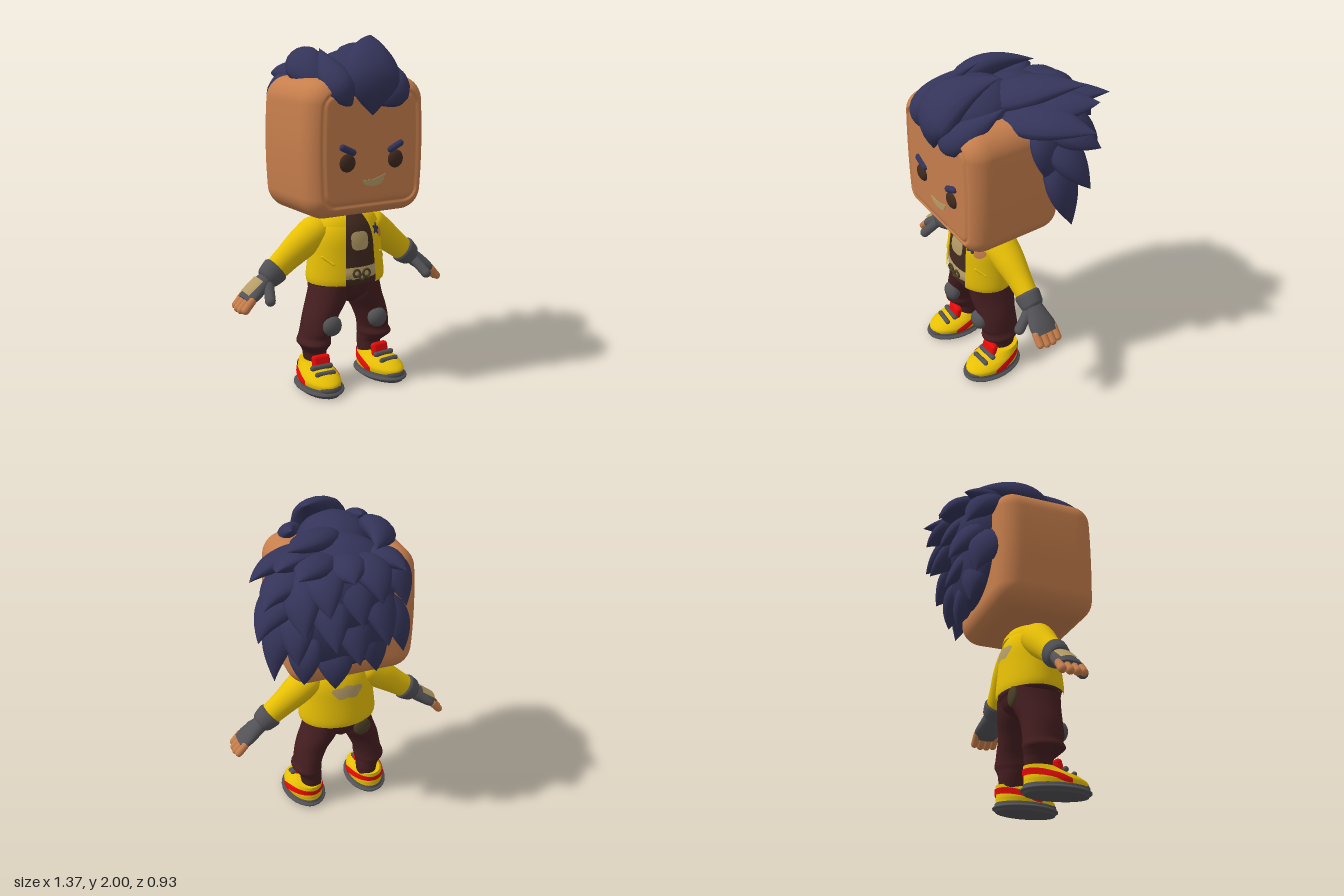
import * as THREE from 'three';
import { mergeVertices } from 'three/addons/utils/BufferGeometryUtils.js';
import { RoundedBoxGeometry } from 'three/addons/geometries/RoundedBoxGeometry.js';

const V = (x, y, z) => new THREE.Vector3(x, y, z);
const mat = (name, color, double) => {
  const m = new THREE.MeshStandardMaterial({ color });
  m.name = name;
  if (double) m.side = THREE.DoubleSide;
  return m;
};

// skin through elliptical frames {c, u, v}, with u x v pointing against the path
function sweep(frames, n = 20) {
  const pos = [], idx = [];
  const first = frames[0], last = frames[frames.length - 1], o = V(0, 0, 0);
  const all = [{ c: first.c, u: o, v: o }, first, ...frames, last, { c: last.c, u: o, v: o }];
  all.forEach((f, i) => {
    for (let j = 0; j < n; j++) {
      const a = j / n * Math.PI * 2;
      const p = f.c.clone().addScaledVector(f.u, Math.cos(a)).addScaledVector(f.v, Math.sin(a));
      pos.push(p.x, p.y, p.z);
      if (i === 0) continue;
      const k = (j + 1) % n, b = (i - 1) * n, t = i * n;
      idx.push(b + j, t + j, b + k, b + k, t + j, t + k);
    }
  });
  const g = new THREE.BufferGeometry();
  g.setAttribute('position', new THREE.Float32BufferAttribute(pos, 3));
  g.setIndex(idx);
  g.computeVertexNormals();
  return g;
}

// smooth loft through level rings [x, y, z, rx, rz], listed upwards
function loft(rings, steps = 26) {
  const c = new THREE.CatmullRomCurve3(rings.map(r => V(r[0], r[1], r[2])));
  const s = new THREE.CatmullRomCurve3(rings.map(r => V(r[3], r[4], 0)));
  const frames = [];
  for (let i = 0; i <= steps; i++) {
    const r = s.getPoint(i / steps);
    frames.push({ c: c.getPoint(i / steps), u: V(r.x, 0, 0), v: V(0, 0, r.y) });
  }
  return sweep(frames, 28);
}

// curved leaf-shaped lock of hair
const hairCentre = V(0.03, 1.5, 0.03);
function lock(a, b, c, width, thick, root = 0.5) {
  const curve = new THREE.QuadraticBezierCurve3(V(...a), V(...b), V(...c));
  const frames = [];
  for (let i = 0; i <= 16; i++) {
    const t = i / 16, p = curve.getPoint(t), T = curve.getTangent(t);
    const N = p.clone().sub(hairCentre);
    N.addScaledVector(T, -N.dot(T)).normalize();
    const B = T.clone().cross(N);
    const r = t < 0.4 ? root + (1 - root) * Math.sin(t / 0.4 * Math.PI / 2)
      : Math.max(0.001, Math.cos((t - 0.4) / 0.6 * Math.PI / 2));
    frames.push({ c: p, u: B.multiplyScalar(width * r), v: N.multiplyScalar(thick * r) });
  }
  return sweep(frames, 14);
}

// capsule between two points
function capsule(a, b, r) {
  const A = V(...a), B = V(...b), d = B.clone().sub(A);
  const g = new THREE.CapsuleGeometry(r, d.length(), 6, 12);
  g.applyQuaternion(new THREE.Quaternion().setFromUnitVectors(V(0, 1, 0), d.normalize()));
  return g.translate(...A.add(B).multiplyScalar(0.5).toArray());
}

const ball = (x, y, z, rx, ry, rz) => new THREE.SphereGeometry(1, 28, 20).scale(rx, ry, rz).translate(x, y, z);

// torso profile: half-width by height, depth is a fixed share of it
const DEPTH = 0.78, MID = 0.122;
const profile = new THREE.SplineCurve([[0.236, 0.62], [0.24, 0.66], [0.226, 0.78], [0.214, 0.88], [0.185, 0.95],
  [0.14, 1.0], [0.1, 1.03]].map(p => new THREE.Vector2(...p))).getPoints(24);
function torsoZ(x, y) {
  let i = 1;
  while (i < profile.length - 1 && profile[i].y < y) i++;
  const a = profile[i - 1], b = profile[i], r = a.x + (b.x - a.x) * (y - a.y) / (b.y - a.y);
  return DEPTH * Math.sqrt(Math.max(0, r * r - x * x));
}
const torso = (pts, gap, k = 1) => new THREE.LatheGeometry(pts, 44, gap, Math.PI * 2 - 2 * gap)
  .scale(k, 1, k * DEPTH).translate(0, 0, MID);

// flat patch laid on the torso; side -1 is the back
function patch(cx, cy, w, h, outline, side, lift) {
  const g = new THREE.RingGeometry(0.001, 1, 36, 4), p = g.attributes.position;
  for (let i = 0; i < p.count; i++) {
    const k = outline(Math.atan2(p.getY(i), p.getX(i)));
    const x = cx + side * p.getX(i) * k * w, y = cy + p.getY(i) * k * h;
    p.setXYZ(i, x, y, MID + side * (torsoZ(x, y) + lift));
  }
  g.computeVertexNormals();
  return g;
}

// rounded box head with a sunken face panel
function headGeometry() {
  let g = new THREE.BoxGeometry(0.77, 0.75, 0.6, 80, 80, 24);
  g.deleteAttribute('uv');
  g.deleteAttribute('normal');
  g = mergeVertices(g);
  const p = g.attributes.position, R = 0.12, q = V(0, 0, 0), half = V(0.385 - R, 0.375 - R, 0.3 - R);
  for (let i = 0; i < p.count; i++) {
    const v = V(0, 0, 0).fromBufferAttribute(p, i);
    q.copy(v).clamp(half.clone().negate(), half);
    v.sub(q).setLength(R).add(q);
    const dx = Math.max(Math.abs(v.x) - 0.23, 0), dy = Math.max(Math.abs(v.y) - 0.23, 0);
    const d = Math.hypot(dx, dy) - 0.072;
    if (v.z > 0.2) v.z -= 0.008 * (1 - THREE.MathUtils.smoothstep(d, -0.01, 0.01)) + 0.012 * Math.exp(-((d / 0.009) ** 2));
    v.x *= 1 - 0.06 * (v.y / 0.375) ** 2;
    p.setXYZ(i, v.x, v.y + 1.405, v.z + 0.1);
  }
  g.computeVertexNormals();
  return g;
}

// band wrapped round the shoe, from [angle, low, high] stops
const shoeRings = [[0, 0.04, 0, 0.108, 0.182], [0, 0.07, 0, 0.112, 0.18], [0, 0.1, -0.02, 0.102, 0.158],
  [0, 0.125, -0.06, 0.086, 0.122], [0, 0.15, -0.09, 0.072, 0.092]];
function shoeBand(stops, flip) {
  const at = (deg, y) => {
    let i = 1;
    while (i < 4 && shoeRings[i][1] < y) i++;
    const a = shoeRings[i - 1], b = shoeRings[i], t = (y - a[1]) / (b[1] - a[1]);
    const [, , z, rx, rz] = a.map((n, k) => n + (b[k] - n) * t), th = deg * Math.PI / 180;
    return [flip * Math.cos(th) * (rx + 0.006), y, z + Math.sin(th) * (rz + 0.006)];
  };
  const curve = new THREE.CatmullRomCurve3(stops.map(s => V(...s))), pos = [], idx = [];
  for (let i = 0; i <= 20; i++) {
    const s = curve.getPoint(i / 20);
    for (let j = 0; j <= 4; j++) pos.push(...at(s.x, s.y + (s.z - s.y) * j / 4));
    if (i) for (let j = 0; j < 4; j++) {
      const a = (i - 1) * 5 + j, b = i * 5 + j;
      idx.push(...(flip > 0 ? [a, a + 1, b, b, a + 1, b + 1] : [a, b, a + 1, b, b + 1, a + 1]));
    }
  }
  const g = new THREE.BufferGeometry();
  g.setAttribute('position', new THREE.Float32BufferAttribute(pos, 3));
  g.setIndex(idx);
  g.computeVertexNormals();
  return g;
}

export function createModel() {
  const skin = mat('skin', 0xc67e4c), navy = mat('navy hair', 0x34345a), yellow = mat('yellow', 0xe8c005, true),
    maroon = mat('maroon cloth', 0x451e20), brown = mat('dark brown', 0x40291e, true), tan = mat('tan', 0xb59c66, true),
    grey = mat('grey', 0x525256), red = mat('red', 0xe60a08, true), olive = mat('dark olive', 0x4c3f26);
  const root = new THREE.Group();
  const add = (name, geo, m, parent = root) => {
    const mesh = new THREE.Mesh(geo, m);
    mesh.name = name;
    parent.add(mesh);
    return mesh;
  };
  const group = (name) => { const g = new THREE.Group(); g.name = name; root.add(g); return g; };

  // head and face
  add('head', headGeometry(), skin);
  add('neck', new THREE.CylinderGeometry(0.09, 0.1, 0.12, 24).translate(0, 1.01, 0.12), skin);
  for (const s of [1, -1]) {
    add('eye', ball(s * 0.155, 1.34, 0.39, 0.05, 0.05, 0.024), brown);
    add('eyebrow', capsule([s * 0.186, 1.425, 0.393], [s * 0.122, 1.395, 0.393], 0.019), navy);
  }
  const mouth = new THREE.Shape([[-0.066, 1.238], [-0.045, 1.213], [0, 1.2], [0.05, 1.206], [0.075, 1.228], [0.09, 1.264], [0.01, 1.238]]
    .map(p => new THREE.Vector2(...p)));
  add('mouth', new THREE.ExtrudeGeometry(mouth, { depth: 0.009, bevelEnabled: false }).translate(0, 0, 0.387), tan);

  // hair: inner mass, then locks swept back and to the left
  const hair = group('hair');
  add('hairMass', ball(0.06, 1.61, -0.1, 0.31, 0.28, 0.26), navy, hair);
  add('hairTop', ball(0.01, 1.75, 0.13, 0.21, 0.175, 0.22), navy, hair);
  add('hairBack', ball(0.05, 1.43, -0.19, 0.3, 0.27, 0.13), navy, hair);
  const locks = [
    [[0, 1.59, 0.4], [-0.03, 1.88, 0.44], [0.18, 2.0, 0.1], 0.16, 0.08, 0.03],
    [[-0.12, 1.64, 0.38], [-0.25, 1.76, 0.42], [-0.12, 1.93, 0.04], 0.09, 0.07, 0.03],
    [[-0.2, 1.74, 0.2], [-0.25, 1.9, 0], [-0.07, 1.88, -0.29], 0.11, 0.07, 0.3],
    [[0.04, 1.64, 0.38], [0.24, 1.72, 0.43], [0.25, 1.86, 0.12], 0.085, 0.07, 0.03],
    [[0.05, 1.8, 0.15], [0.18, 1.89, -0.1], [0.4, 1.94, -0.28], 0.12, 0.06],
    [[0.1, 1.75, -0.05], [0.25, 1.84, -0.25], [0.4, 1.85, -0.44], 0.11, 0.06],
    [[0.1, 1.74, 0.1], [0.38, 1.82, -0.03], [0.585, 1.77, -0.21], 0.12, 0.06],
    [[0.12, 1.78, 0], [0.34, 1.83, -0.14], [0.47, 1.86, -0.32], 0.12, 0.06],
    [[0.2, 1.72, -0.1], [0.44, 1.73, -0.15], [0.54, 1.63, -0.29], 0.12, 0.07],
    [[0.26, 1.66, -0.12], [0.48, 1.6, -0.13], [0.56, 1.41, -0.22], 0.12, 0.07],
    [[0.3, 1.76, -0.07], [0.44, 1.66, -0.04], [0.4, 1.41, -0.07], 0.11, 0.06],
    [[0.32, 1.56, -0.12], [0.46, 1.42, -0.12], [0.47, 1.13, -0.18], 0.12, 0.07],
    [[-0.05, 1.74, -0.05], [-0.18, 1.82, -0.22], [-0.21, 1.77, -0.37], 0.1, 0.06],
  ];
  // locks hanging over the back, given by their tips
  const tips = [[-0.04, 1.66, -0.47], [0.1, 1.78, -0.43], [-0.22, 1.56, -0.36], [0.2, 1.4, -0.44], [-0.1, 1.37, -0.42],
    [0.05, 1.26, -0.39], [-0.24, 1.24, -0.3], [0.15, 1.06, -0.27], [-0.09, 1.13, -0.28], [0.33, 1.13, -0.27],
    [0.36, 1.5, -0.42], [0.24, 1.62, -0.46], [0.38, 1.3, -0.34], [0.05, 1.52, -0.43]];
  for (const [x, y, z] of tips)
    locks.push([[x * 0.75, Math.min(y + 0.32, 1.77), -0.12], [x, Math.min(y + 0.18, 1.83), Math.min(z + 0.1, -0.27)], [x, y, z], 0.11, 0.065]);
  for (const l of locks) add('hairLock', lock(...l), navy, hair);

  // shirt, jacket and collar
  add('shirt', torso(profile, 0, 0.93), brown);
  add('shirtPatch', patch(0, 0.87, 0.06, 0.056, a => 1 - 0.07 * Math.cos(4 * a), 1, -0.006), tan);
  add('jacket', torso(profile, 0.43), yellow);
  add('collar', torso([[0.19, 0.955], [0.178, 0.985], [0.15, 1.015], [0.11, 1.035]].map(p => new THREE.Vector2(...p)), 0.42, 1.03), yellow);
  add('backPatch', patch(-0.01, 0.86, 0.09, 0.06, a => 0.85 + 0.2 * Math.cos(2 * a) + 0.1 * Math.sin(5 * a), -1, 0.006), tan);
  add('starBadge', patch(0.125, 0.92, 0.032, 0.032, a => 0.8 + 0.25 * Math.cos(5 * a), 1, 0.009), navy);
  add('roundBadge', patch(0.165, 0.892, 0.026, 0.026, () => 1, 1, 0.008), skin);
  for (const s of [1, -1]) {
    const z = x => MID + torsoZ(x, 0.765);
    add('pocketFlap', capsule([s * 0.155, s > 0 ? 0.785 : 0.745, z(0.155)], [s * 0.2, s > 0 ? 0.745 : 0.785, z(0.2)], 0.008), yellow);
  }

  // belt, hips and hip cloth
  add('belt', loft([[0, 0.64, MID, 0.215, 0.172], [0, 0.68, MID, 0.218, 0.18], [0, 0.72, MID, 0.215, 0.172]]), tan);
  for (const [x, y, r] of [[-0.035, 0.69, 0.02], [0.03, 0.685, 0.022], [0, 0.665, 0.016]])
    add('buckleRing', new THREE.TorusGeometry(r, 0.007, 8, 18).translate(x, y, 0.304), olive);
  add('hips', loft([[0, 0.49, 0.115, 0.03, 0.08], [0, 0.55, 0.115, 0.16, 0.14], [0, 0.6, 0.115, 0.2, 0.155], [0, 0.67, 0.115, 0.2, 0.155]]), maroon);
  add('hipCloth', ball(-0.11, 0.57, -0.028, 0.055, 0.06, 0.02), olive);

  for (const s of [1, -1]) {
    // arm, built along its own y axis from shoulder to hand
    const arm = group(s > 0 ? 'leftArm' : 'rightArm');
    arm.position.set(s * 0.2, 0.9, 0.085);
    arm.rotation.z = -s * 2.23;
    add('sleeve', loft([[0, -0.09, 0.015, 0.06, 0.07], [0, -0.02, 0.012, 0.092, 0.1], [0, 0.08, 0.005, 0.09, 0.09],
      [0, 0.2, 0, 0.077, 0.07], [0, 0.31, 0, 0.068, 0.06]]), yellow, arm);
    add('gloveCuff', loft([[0, 0.285, 0, 0.072, 0.068], [0, 0.3, 0, 0.08, 0.073], [0, 0.36, 0, 0.068, 0.066], [0, 0.375, 0, 0.055, 0.058]]), grey, arm);
    add('glove', loft([[0, 0.35, 0, 0.045, 0.05], [0, 0.42, 0, 0.046, 0.065], [0, 0.49, 0, 0.04, 0.08], [0, 0.54, 0, 0.03, 0.078]]), grey, arm);
    add('thumb', capsule([s * 0.015, 0.39, 0.04], [s * 0.05, 0.455, 0.116], 0.03), grey, arm);
    for (let i = 0; i < 4; i++) {
      const z = -0.06 + i * 0.04;
      add('finger', capsule([0, 0.52, z], [s * 0.012, 0.598 - Math.abs(i - 1.5) * 0.01, z], 0.023), skin, arm);
    }
    if (s < 0) add('glovePatch', new THREE.CylinderGeometry(0.96, 1, 0.11, 16, 1, true, Math.PI / 2 - 0.8, 1.6)
      .scale(0.051, 1, 0.078).translate(0, 0.46, 0), tan, arm);

    // leg and knee pad
    add('trouserLeg', loft([[0.187, 0.125, 0.09, 0.06, 0.075], [0.19, 0.2, 0.09, 0.068, 0.082], [0.2, 0.235, 0.105, 0.08, 0.104],
      [0.208, 0.265, 0.115, 0.093, 0.122], [0.2, 0.3, 0.112, 0.086, 0.115], [0.192, 0.335, 0.118, 0.088, 0.12],
      [0.165, 0.42, 0.12, 0.1, 0.122], [0.12, 0.52, 0.115, 0.11, 0.14], [0.1, 0.62, 0.115, 0.1, 0.15]]
      .map(([x, ...r]) => [s * x, ...r]), 40), maroon);
    add('kneePad', ball(s * 0.155, 0.38, 0.232, 0.06, 0.06, 0.045), grey);

    // shoe
    const shoe = group(s > 0 ? 'leftShoe' : 'rightShoe');
    shoe.position.set(s * 0.212, 0, 0.18);
    shoe.rotation.y = s * 0.07;
    add('sole', loft([[0, 0, 0, 0.105, 0.18], [0, 0.012, 0, 0.114, 0.187], [0, 0.035, 0, 0.114, 0.187], [0, 0.05, 0, 0.11, 0.184]]), grey, shoe);
    add('toeGuard', ball(0, 0.045, 0.125, 0.07, 0.036, 0.064), grey, shoe);
    add('upper', loft(shoeRings), yellow, shoe);
    for (const f of [1, -1])
      add('stripe', shoeBand([[-90, 0.095, 0.128], [-50, 0.09, 0.128], [-18, 0.075, 0.118], [2, 0.053, 0.1], [16, 0.05, 0.078]], f), red, shoe);
    const tongue = add('tongue', new RoundedBoxGeometry(0.11, 0.085, 0.045, 3, 0.02), red, shoe);
    tongue.position.set(-s * 0.01, 0.158, 0.008);
    tongue.rotation.x = -0.25;
    add('upperLace', capsule([-0.055, 0.138, 0.035], [0.055, 0.138, 0.035], 0.016), grey, shoe);
    add('lowerLace', capsule([-0.05, 0.115, 0.085], [0.05, 0.115, 0.085], 0.015), grey, shoe);
  }
  return root;
}
